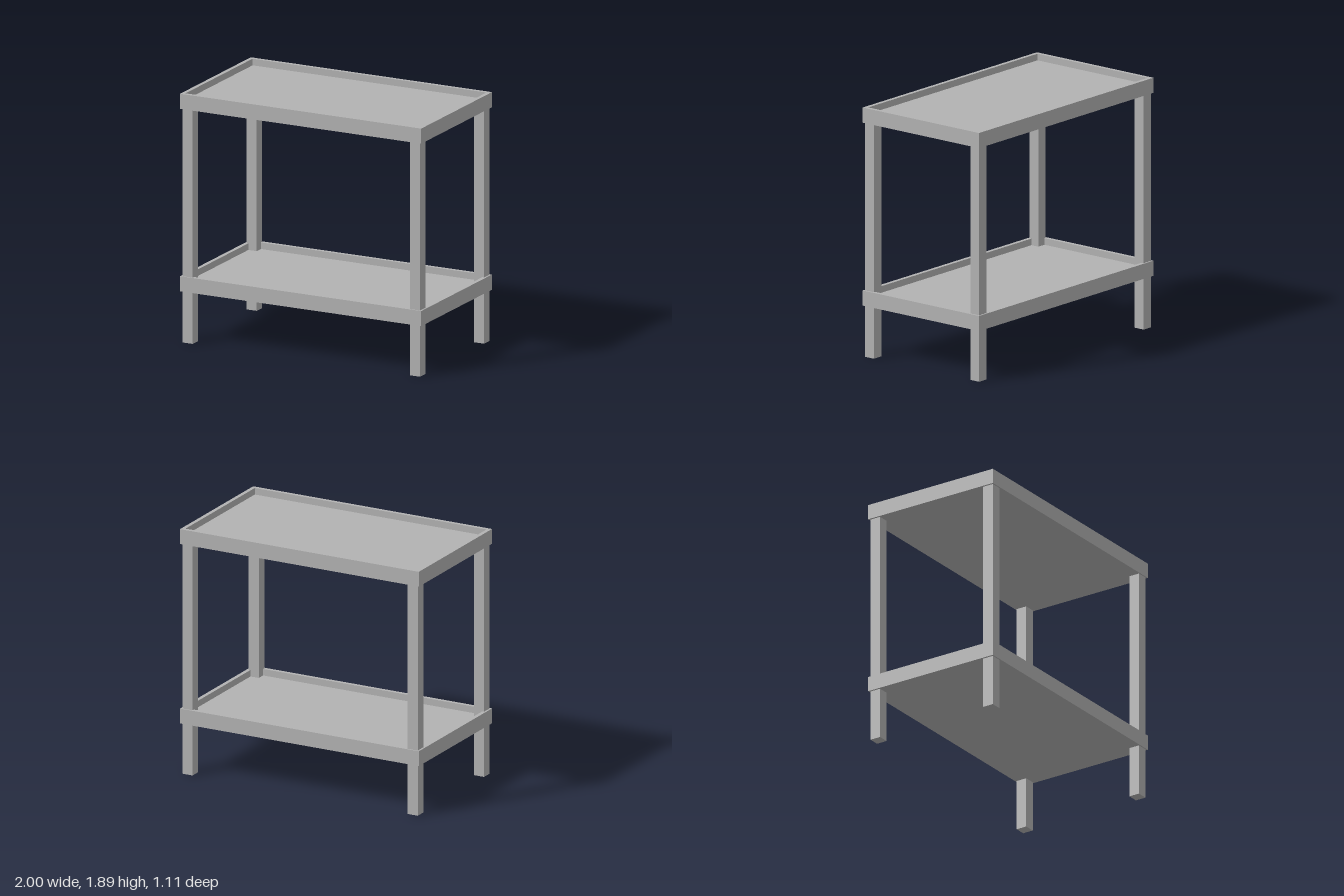
import * as THREE from 'three';

const WIDTH = 2, DEPTH = 1.11, RIM = 0.03, TRAY_H = 0.115, FLOOR_H = 0.065;
const LEG = 0.085, LEG_X = 0.943, LEG_Z = 0.502;
const TRAY_LEVELS = { lowerTray: 0.39, upperTray: 1.78 };

const grey = new THREE.MeshStandardMaterial({ color: 0xb2b2b2 });
grey.name = 'grey';

function rectangle(path, w, d) {
  path.moveTo(-w / 2, -d / 2);
  path.lineTo(w / 2, -d / 2);
  path.lineTo(w / 2, d / 2);
  path.lineTo(-w / 2, d / 2);
  path.closePath();
  return path;
}

function addMesh(parent, name, geometry, x, y, z) {
  const mesh = new THREE.Mesh(geometry, grey);
  mesh.name = name;
  mesh.position.set(x, y, z);
  parent.add(mesh);
}

// Shallow tray: a rectangular rim around a flat floor flush with its underside
function createTray(name, y) {
  const tray = new THREE.Group();
  tray.name = name;
  const innerW = WIDTH - 2 * RIM, innerD = DEPTH - 2 * RIM;

  const outline = rectangle(new THREE.Shape(), WIDTH, DEPTH);
  outline.holes.push(rectangle(new THREE.Path(), innerW, innerD));
  const rim = new THREE.ExtrudeGeometry(outline, { depth: TRAY_H, bevelEnabled: false });
  rim.rotateX(-Math.PI / 2);
  addMesh(tray, 'rim', rim, 0, 0, 0);
  addMesh(tray, 'shelfFloor', new THREE.BoxGeometry(innerW, FLOOR_H, innerD), 0, FLOOR_H / 2, 0);

  tray.position.y = y;
  return tray;
}

export function createModel() {
  const model = new THREE.Group();
  model.name = 'twoTierTable';

  for (const [name, y] of Object.entries(TRAY_LEVELS)) model.add(createTray(name, y));

  // Square legs run through the lower tray and end inside the upper floor
  const legH = TRAY_LEVELS.upperTray + 0.02;
  const legGeometry = new THREE.BoxGeometry(LEG, legH, LEG);
  for (const sx of [-1, 1]) {
    for (const sz of [-1, 1]) {
      const name = (sz > 0 ? 'front' : 'back') + (sx > 0 ? 'Left' : 'Right') + 'Leg';
      addMesh(model, name, legGeometry, sx * LEG_X, legH / 2, sz * LEG_Z);
    }
  }
  return model;
}
